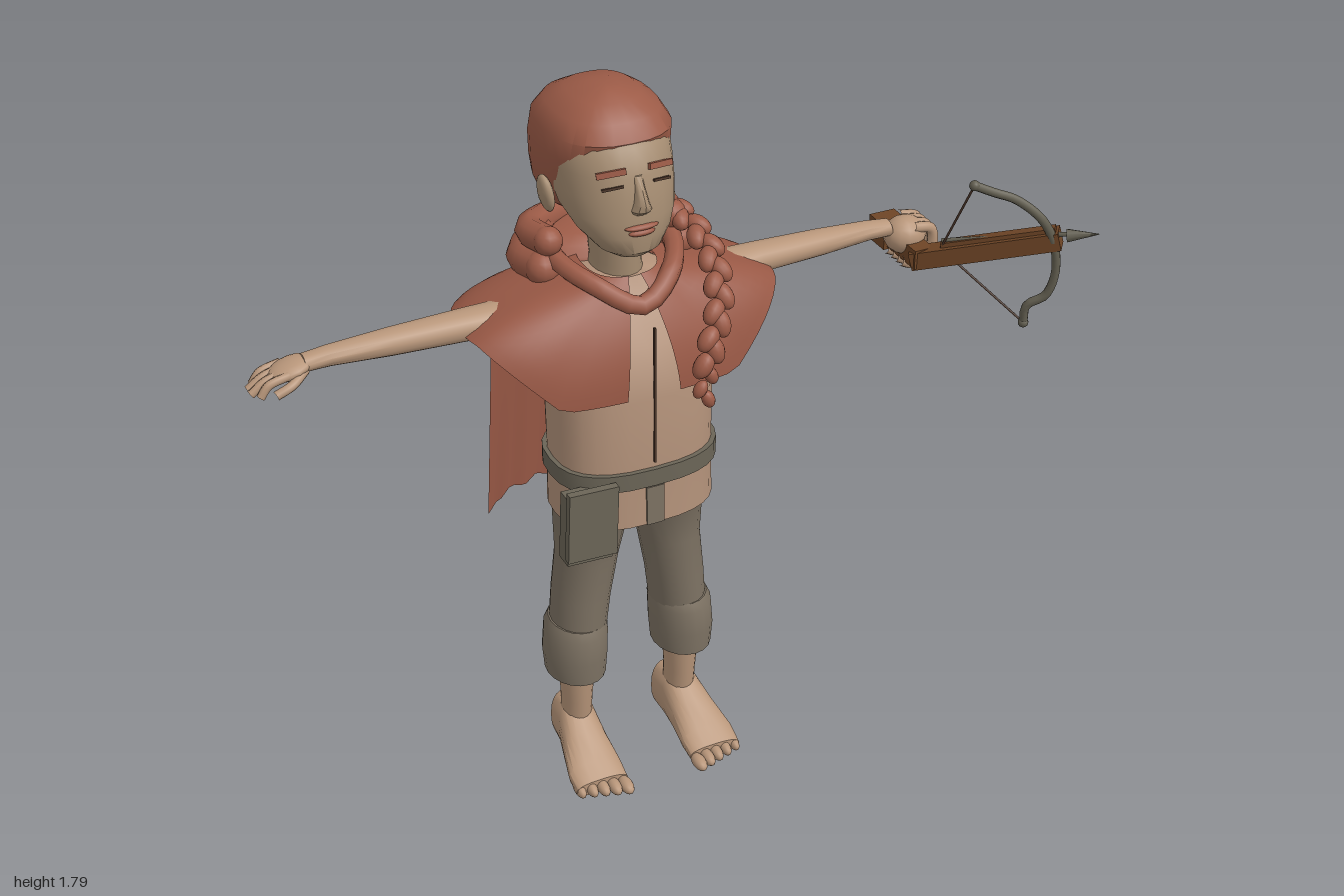
import * as THREE from 'three';
import { toCreasedNormals } from 'three/addons/utils/BufferGeometryUtils.js';

const V = (x, y, z) => new THREE.Vector3(x, y, z);
const mat = (name, color, side = THREE.FrontSide) => {
  const m = new THREE.MeshStandardMaterial({ color, side });
  m.name = name;
  return m;
};

// Closed indexed surface from a grid of points
function grid(nu, nv, f) {
  const pos = [], idx = [];
  for (let j = 0; j <= nv; j++) for (let i = 0; i <= nu; i++) pos.push(...f(i / nu, j / nv));
  for (let j = 0; j < nv; j++) for (let i = 0; i < nu; i++) {
    const a = j * (nu + 1) + i, b = a + nu + 1;
    idx.push(a, a + 1, b, a + 1, b + 1, b);
  }
  const g = new THREE.BufferGeometry();
  g.setAttribute('position', new THREE.Float32BufferAttribute(pos, 3));
  g.setIndex(idx);
  g.computeVertexNormals();
  return g;
}

// Superellipse loft. Stations: [along, c1, c2, r1, r2]; axis y uses (z, x), x uses (y, z), z uses (x, y)
function loft(axis, stations, p = 2, n = 20) {
  const st = [...stations].sort((a, b) => a[0] - b[0]);
  const rings = [[...st[0].slice(0, 3), 0, 0], ...st, [...st[st.length - 1].slice(0, 3), 0, 0]];
  const k = 'xyz'.indexOf(axis);
  const pw = t => Math.sign(t) * Math.abs(t) ** (2 / p);
  const g = grid(n, rings.length - 1, (u, v) => {
    const s = rings[Math.round(v * (rings.length - 1))], a = u * Math.PI * 2, q = [0, 0, 0];
    q[k] = s[0];
    q[(k + 1) % 3] = s[1] + s[3] * pw(Math.cos(a));
    q[(k + 2) % 3] = s[2] + s[4] * pw(Math.sin(a));
    return q;
  });
  return toCreasedNormals(g, 0.7);
}

export function createModel() {
  const skin = mat('skin', 0xb8967a), face = mat('face skin', 0xa68d72), tunicM = mat('tunic tan', 0xb3927a);
  const red = mat('russet', 0x9c5b47), cloth = mat('russet cloth', 0x985845, THREE.DoubleSide);
  const grey = mat('trouser grey', 0x7d7263), leather = mat('belt grey', 0x6b6557);
  const wood = mat('wood', 0x6e4526), metal = mat('bow metal', 0x625e50), dark = mat('dark line', 0x4a3428);
  const root = new THREE.Group(), body = new THREE.Group();
  root.name = 'figure';
  body.name = 'body';
  body.position.x = -0.12;
  root.add(body);
  const add = (name, g, m, parent = body) => {
    const o = new THREE.Mesh(g, m);
    o.name = name;
    parent.add(o);
    return o;
  };
  const ball = (name, m, c, r, parent = body) => {
    const o = add(name, new THREE.SphereGeometry(1, 14, 10), m, parent);
    o.position.set(...c);
    o.scale.set(...r);
    return o;
  };
  const box = (name, m, c, s, parent = body) => {
    const o = add(name, new THREE.BoxGeometry(...s), m, parent);
    o.position.set(...c);
    return o;
  };
  const tube = (name, m, pts, r, parent = body, closed = false) => add(name,
    new THREE.TubeGeometry(new THREE.CatmullRomCurve3(pts.map(q => V(...q)), closed), 32, r, 8, closed), m, parent);

  // Tunic, belt and pouch
  add('tunic', loft('y', [[0.76, 0.05, 0, 0.147, 0.198], [0.9, 0.05, 0, 0.142, 0.196], [1.1, 0.048, 0, 0.147, 0.198],
    [1.22, 0.03, 0, 0.135, 0.2], [1.3, 0, 0, 0.1, 0.18], [1.36, -0.01, 0, 0.08, 0.08]], 2.6, 28), tunicM);
  add('belt', loft('y', [[0.87, 0.05, 0, 0.154, 0.207], [0.915, 0.05, 0, 0.154, 0.207]], 2.6, 28), leather);
  box('tunicSlit', grey, [0, 0.812, 0.195], [0.045, 0.105, 0.008]);
  box('tunicSeam', dark, [0, 1.11, 0.195], [0.005, 0.36, 0.006]);
  const pouch = new THREE.Group();
  pouch.name = 'pouch';
  pouch.position.set(-0.17, 0.805, 0.18);
  pouch.rotation.z = -0.04;
  body.add(pouch);
  box('pouchBody', leather, [0, -0.01, 0], [0.115, 0.18, 0.05], pouch);
  box('pouchFlap', leather, [0, 0.01, 0.03], [0.125, 0.185, 0.02], pouch);

  // Hips, legs, feet
  add('hips', loft('y', [[0.69, 0.035, 0, 0.06, 0.06], [0.73, 0.04, 0, 0.115, 0.15], [0.79, 0.045, 0, 0.13, 0.185]], 2.3), grey);
  for (const s of [-1, 1]) {
    add('trouserLeg', loft('y', [[0.36, 0.03, s * 0.14, 0.085, 0.068], [0.5, 0.033, s * 0.127, 0.086, 0.072],
      [0.62, 0.035, s * 0.11, 0.088, 0.077], [0.72, 0.038, s * 0.1, 0.1, 0.09], [0.79, 0.045, s * 0.095, 0.125, 0.095]]), grey);
    add('trouserCuff', loft('y', [[0.27, 0.032, s * 0.146, 0.092, 0.074], [0.33, 0.032, s * 0.146, 0.096, 0.079],
      [0.4, 0.032, s * 0.142, 0.096, 0.077], [0.425, 0.032, s * 0.138, 0.086, 0.07]]), grey);
    add('shin', loft('y', [[0.1, 0.025, s * 0.144, 0.045, 0.038], [0.18, 0.032, s * 0.144, 0.05, 0.038],
      [0.3, 0.037, s * 0.144, 0.058, 0.046]]), skin);
    add('foot', loft('z', [[-0.052, s * 0.142, 0.045, 0.035, 0.035], [-0.035, s * 0.142, 0.075, 0.046, 0.073],
      [0.03, s * 0.145, 0.08, 0.05, 0.079], [0.1, s * 0.152, 0.056, 0.06, 0.055], [0.17, s * 0.157, 0.034, 0.071, 0.033],
      [0.215, s * 0.157, 0.021, 0.07, 0.02]], 2.5), skin);
    for (let i = 0; i < 5; i++)
      ball('toe', skin, [s * (0.102 + i * 0.028), 0.018, 0.236 - i * 0.009], [0.017 - i * 0.001, 0.017, 0.034]);
  }

  // Arms and hands
  for (const s of [-1, 1])
    add('arm', loft('x', [[0.15, 1.27, -0.01, 0.055, 0.06], [0.37, 1.278, -0.025, 0.037, 0.046],
      [0.55, 1.273, -0.035, 0.032, 0.037], [0.69, 1.265, -0.05, 0.024, 0.028], [0.75, 1.26, -0.052, 0.021, 0.026]]
      .map(q => [s * q[0], ...q.slice(1)]), 2, 14), skin);
  ball('openPalm', skin, [-0.78, 1.252, -0.055], [0.055, 0.02, 0.042]).rotation.z = 0.25;
  for (let i = 0; i < 4; i++) {
    const z = -0.09 + i * 0.022, e = i === 0 || i === 3 ? 0.86 : 0.876;
    tube('finger', skin, [[-0.79, 1.252, z], [-0.84, 1.238, z], [-e, 1.213, z]], 0.0105);
  }
  tube('thumb', skin, [[-0.75, 1.25, -0.035], [-0.79, 1.235, -0.008], [-0.83, 1.22, -0.004]], 0.011);
  ball('fist', skin, [0.795, 1.235, -0.045], [0.055, 0.048, 0.05]);
  for (let i = 0; i < 4; i++) {
    const z = -0.088 + i * 0.024;
    tube('grippingFinger', skin, [[0.8, 1.265, z], [0.852, 1.25, z], [0.853, 1.19, z], [0.81, 1.165, z], [0.77, 1.18, z]], 0.014);
  }

  // Head, face and hair; stations given as front and back depth
  const depth = rows => rows.map(([y, f, b, rx]) => [y, (f + b) / 2, 0, (f - b) / 2, rx]);
  add('neck', loft('y', depth([[1.3, 0.06, -0.11, 0.07], [1.38, 0.065, -0.1, 0.056], [1.5, 0.07, -0.12, 0.06]])), face);
  add('head', loft('y', depth([[1.432, 0.11, 0.02, 0.045], [1.45, 0.13, -0.02, 0.075], [1.49, 0.135, -0.09, 0.11],
    [1.53, 0.133, -0.15, 0.13], [1.58, 0.127, -0.2, 0.138], [1.63, 0.115, -0.22, 0.14], [1.69, 0.094, -0.23, 0.138],
    [1.74, 0.04, -0.2, 0.11], [1.765, 0, -0.15, 0.06]]), 2.1, 28), face);
  add('hair', loft('y', depth([[1.455, -0.1, -0.2, 0.07], [1.49, -0.06, -0.24, 0.115], [1.54, 0, -0.262, 0.138],
    [1.59, 0.055, -0.27, 0.148], [1.65, 0.072, -0.27, 0.151], [1.7, 0.085, -0.258, 0.147], [1.74, 0.062, -0.225, 0.122],
    [1.77, 0.02, -0.17, 0.08], [1.787, -0.02, -0.1, 0.03]]), 2.5, 28), red);
  add('nose', loft('y', [[1.545, 0.12, 0, 0.012, 0.02], [1.558, 0.125, 0, 0.025, 0.025], [1.575, 0.125, 0, 0.029, 0.018],
    [1.605, 0.12, 0, 0.016, 0.012], [1.635, 0.11, 0, 0.008, 0.01]], 2, 10), face);
  ball('upperLip', red, [0, 1.516, 0.128], [0.042, 0.008, 0.014]);
  ball('lowerLip', red, [0, 1.503, 0.128], [0.034, 0.009, 0.014]);
  for (const s of [-1, 1]) {
    ball('ear', face, [s * 0.147, 1.542, -0.068], [0.016, 0.047, 0.034]).rotation.z = -s * 0.15;
    const brow = box('brow', red, [s * 0.06, 1.645, 0.1], [0.068, 0.014, 0.009]);
    brow.rotation.set(-0.2, s * 0.33, -s * 0.08);
    const eye = box('closedEye', dark, [s * 0.06, 1.612, 0.107], [0.05, 0.006, 0.008]);
    eye.rotation.set(-0.2, s * 0.33, -s * 0.1);
  }

  // Braid over the left shoulder
  const braid = new THREE.CatmullRomCurve3([V(0.05, 1.45, -0.23), V(0.13, 1.455, -0.13), V(0.18, 1.43, -0.01),
    V(0.195, 1.38, 0.09), V(0.175, 1.3, 0.17), V(0.13, 1.2, 0.215), V(0.115, 1.08, 0.215)]);
  for (let i = 0; i < 24; i++) {
    const c = braid.getPointAt(i / 23), t = braid.getTangentAt(i / 23), s = i % 2 ? 1 : -1;
    const r = i > 20 ? 0.016 : 0.023;
    const b = ball('braidStrand', red, [c.x + s * 0.012, c.y, c.z], [r, r * 1.5, r]);
    b.quaternion.setFromUnitVectors(V(0, 1, 0), t.clone().add(V(s * 0.5, 0, 0)).normalize());
  }

  // Shoulder capelet, open at the front
  const pw = (t, p) => Math.sign(t) * Math.abs(t) ** p;
  add('capelet', grid(56, 10, (u, v) => {
    const a = 0.11 + u * (Math.PI * 2 - 0.22), sx = pw(Math.sin(a), 0.8), cz = pw(Math.cos(a), 0.8);
    const hemX = 0.39 * sx;
    const hem = Math.min((cz > 0 ? 1.11 : 1.17) + Math.max(0, Math.abs(hemX) - 0.22), 1.27);
    const r = Math.sin(v * Math.PI / 2);
    return [sx * (0.085 + 0.305 * (0.45 * r + 0.55 * v)), 1.375 - (1.375 - hem) * v ** 1.15,
      cz * (0.1 + 0.105 * r) - 0.01 - (cz < 0 ? 0.02 * r : 0)];
  }), cloth);

  // Back cape with soft folds and a ragged hem
  add('cape', grid(40, 12, (u, v) => {
    const t = u * 2 - 1, w = 0.27 + 0.035 * v;
    const hem = 0.685 + 0.012 * Math.sin(u * 41) * Math.sin(u * 17);
    return [t * w, 1.28 + (hem - 1.28) * v,
      -0.165 - 0.05 * v + (0.05 + 0.055 * v) * t ** 4 + 0.009 * v * Math.sin(u * 34)];
  }), cloth);

  // Lowered hood bunched around the neck
  tube('hoodCollar', red, [[0, 1.315, 0.13], [0.095, 1.365, 0.085], [0.145, 1.395, -0.03], [0.11, 1.41, -0.17],
    [0, 1.405, -0.225], [-0.11, 1.41, -0.17], [-0.145, 1.395, -0.03], [-0.095, 1.365, 0.085]], 0.024, body, true);
  ball('hoodBulk', red, [0, 1.345, -0.155], [0.185, 0.075, 0.125]);
  for (const [y, z, w, r] of [[1.415, -0.225, 0.165, 0.035], [1.35, -0.26, 0.18, 0.042], [1.28, -0.225, 0.15, 0.038]]) {
    tube('hoodFold', red, [[-w * 0.95, y + 0.02, -0.04], [-w, y + 0.01, -0.13], [-w * 0.55, y, z + 0.03], [0, y - 0.01, z],
      [w * 0.55, y, z + 0.03], [w, y + 0.01, -0.13], [w * 0.95, y + 0.02, -0.04]], r);
    for (const s of [-1, 1]) ball('hoodFoldEnd', red, [s * w * 0.95, y + 0.02, -0.04], [r, r, r]);
  }

  // Crossbow in the left hand
  const bow = new THREE.Group();
  bow.name = 'crossbow';
  root.add(bow);
  const bar = (name, m, a, b, g) => {
    const A = V(...a), B = V(...b), o = add(name, g(A.distanceTo(B)), m, bow);
    o.position.copy(A).add(B).multiplyScalar(0.5);
    o.lookAt(B);
    return o;
  };
  const beam = (w, h) => l => new THREE.BoxGeometry(w, h, l);
  const rod = (r0, r1) => l => new THREE.CylinderGeometry(r1, r0, l, 8).rotateX(Math.PI / 2);
  bar('stockButt', wood, [0.68, 1.207, -0.165], [0.68, 1.207, -0.09], beam(0.07, 0.065));
  bar('stockGrip', wood, [0.68, 1.207, -0.1], [0.682, 1.205, 0.04], beam(0.052, 0.05));
  bar('stockBody', wood, [0.665, 1.195, 0.01], [0.94, 1.295, 0.235], beam(0.05, 0.045));
  bar('stockRail', wood, [0.72, 1.24, 0.055], [0.93, 1.315, 0.228], beam(0.026, 0.02));
  bar('boltShaft', metal, [0.72, 1.253, 0.055], [0.965, 1.318, 0.27], rod(0.006, 0.006));
  bar('boltTip', metal, [0.945, 1.31, 0.255], [1, 1.325, 0.305], rod(0.017, 0.001));
  tube('bowLimbs', metal, [[0.74, 1.44, 0.15], [0.785, 1.42, 0.168], [0.835, 1.4, 0.19], [0.89, 1.35, 0.225], [0.922, 1.28, 0.238],
    [0.93, 1.2, 0.24], [0.915, 1.14, 0.228], [0.88, 1.11, 0.205], [0.878, 1.06, 0.2]], 0.011, bow);
  for (const tip of [[0.74, 1.44, 0.15], [0.878, 1.06, 0.2]]) {
    ball('bowTip', metal, tip, [0.013, 0.013, 0.013], bow);
    bar('bowString', dark, tip, [0.715, 1.235, 0.06], rod(0.003, 0.003));
  }
  const guard = add('triggerGuard', new THREE.TorusGeometry(0.042, 0.006, 8, 20), metal, bow);
  guard.position.set(0.765, 1.215, 0.045);
  guard.rotation.set(Math.PI / 2 - 0.5, 0.3, 0);
  return root;
}
